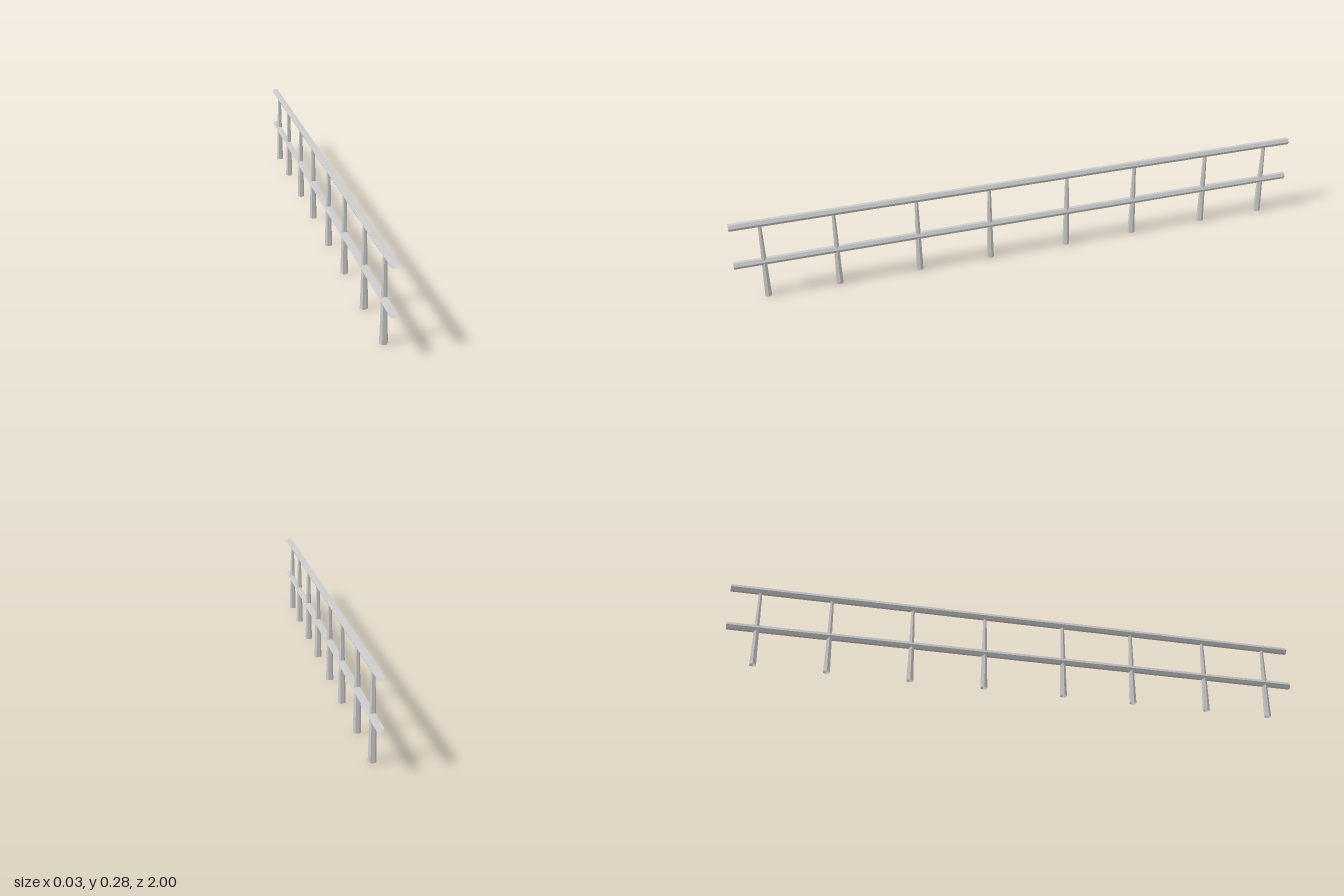
import * as THREE from 'three';

const SIDES = 6;
const RAIL_RADIUS = 0.0125;
const RAIL_HEIGHTS = { lowerRail: 0.13, topRail: 0.27 };
const POST_HEIGHT = 0.27;
const POST_OFFSETS = [0.14, 0.392, 0.667, 0.903];

export function createModel() {
  const group = new THREE.Group();
  group.name = 'railing';
  const material = new THREE.MeshStandardMaterial({
    color: 0xcccccc, flatShading: true, side: THREE.DoubleSide,
  });

  // Open hexagonal tube with its corners pointing to both sides (x)
  const hexTube = (top, bottom, length) =>
    new THREE.CylinderGeometry(top, bottom, length, SIDES, 1, true, Math.PI / 2);

  // Horizontal rails running along z
  const railGeometry = hexTube(RAIL_RADIUS, RAIL_RADIUS, 2).rotateX(Math.PI / 2);
  for (const [name, y] of Object.entries(RAIL_HEIGHTS)) {
    const rail = new THREE.Mesh(railGeometry, material);
    rail.name = name;
    rail.position.y = y;
    group.add(rail);
  }

  // Tapered posts, mirrored front to back
  const postGeometry = hexTube(0.006, 0.0125, POST_HEIGHT).translate(0, POST_HEIGHT / 2, 0);
  for (const offset of POST_OFFSETS) {
    for (const side of [1, -1]) {
      const post = new THREE.Mesh(postGeometry, material);
      post.name = 'post';
      post.position.z = side * offset;
      group.add(post);
    }
  }
  return group;
}
